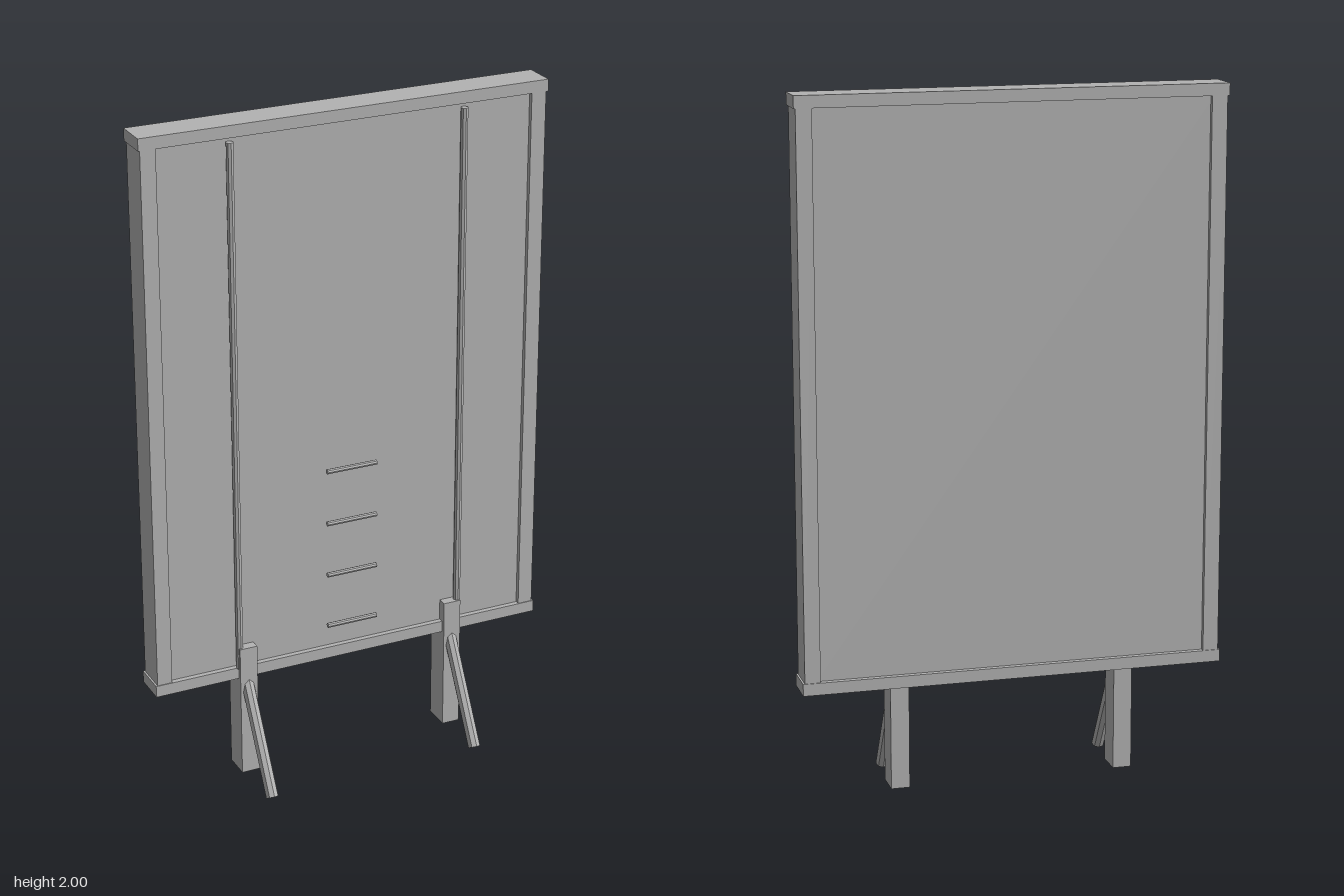
import * as THREE from 'three';

export function createModel() {
  const model = new THREE.Group();
  const grey = new THREE.MeshStandardMaterial({ color: 0xb2b2b2 });
  const flatGrey = grey;

  const add = (name, geometry, x, y, z) => {
    const mesh = new THREE.Mesh(geometry, flatGrey);
    mesh.name = name;
    mesh.position.set(x, y, z);
    model.add(mesh);
    return mesh;
  };
  const box = (name, w, h, d, x, y, z) => add(name, new THREE.BoxGeometry(w, h, d), x, y, z);

  // Eight-sided rod with faceted sides
  const rod = (name, r, length, x, y, z) => {
    const g = new THREE.CylinderGeometry(r, r, length, 8).toNonIndexed();
    g.computeVertexNormals();
    return add(name, g, x, y, z);
  };

  // Board set back inside its frame
  box('board', 1.16, 1.62, 0.07, 0, 1.1625, -0.094);

  // Frame: top and bottom rails overhang the side rails slightly
  box('topFrameRail', 1.23, 0.035, 0.102, 0, 1.9825, -0.094);
  box('bottomFrameRail', 1.23, 0.035, 0.102, 0, 0.3425, -0.094);

  for (const side of [-1, 1]) {
    const label = side > 0 ? 'left' : 'right';
    box(label + 'FrameRail', 0.045, 1.605, 0.097, side * 0.587, 1.1625, -0.094);

    // Long vertical rod in front of the board
    rod(label + 'Rod', 0.011, 1.595, side * 0.353, 1.1555, -0.046);

    // Square post rising in front of the frame
    box(label + 'Post', 0.054, 0.41, 0.082, side * 0.331, 0.22, -0.071);

    // Slanted prop running from the post to the ground
    const top = new THREE.Vector3(side * 0.331, 0.335, -0.06);
    const foot = new THREE.Vector3(side * 0.331, 0.0095, 0.125);
    const mid = top.clone().add(foot).multiplyScalar(0.5);
    const prop = rod(label + 'Prop', 0.019, top.distanceTo(foot), mid.x, mid.y, mid.z);
    prop.quaternion.setFromUnitVectors(new THREE.Vector3(0, 1, 0), top.sub(foot).normalize());
  }

  // Short horizontal rungs
  for (let i = 0; i < 4; i++) {
    rod('rung' + (i + 1), 0.0075, 0.157, 0, 0.44 + i * 0.165, -0.031).rotation.z = Math.PI / 2;
  }
  return model;
}
